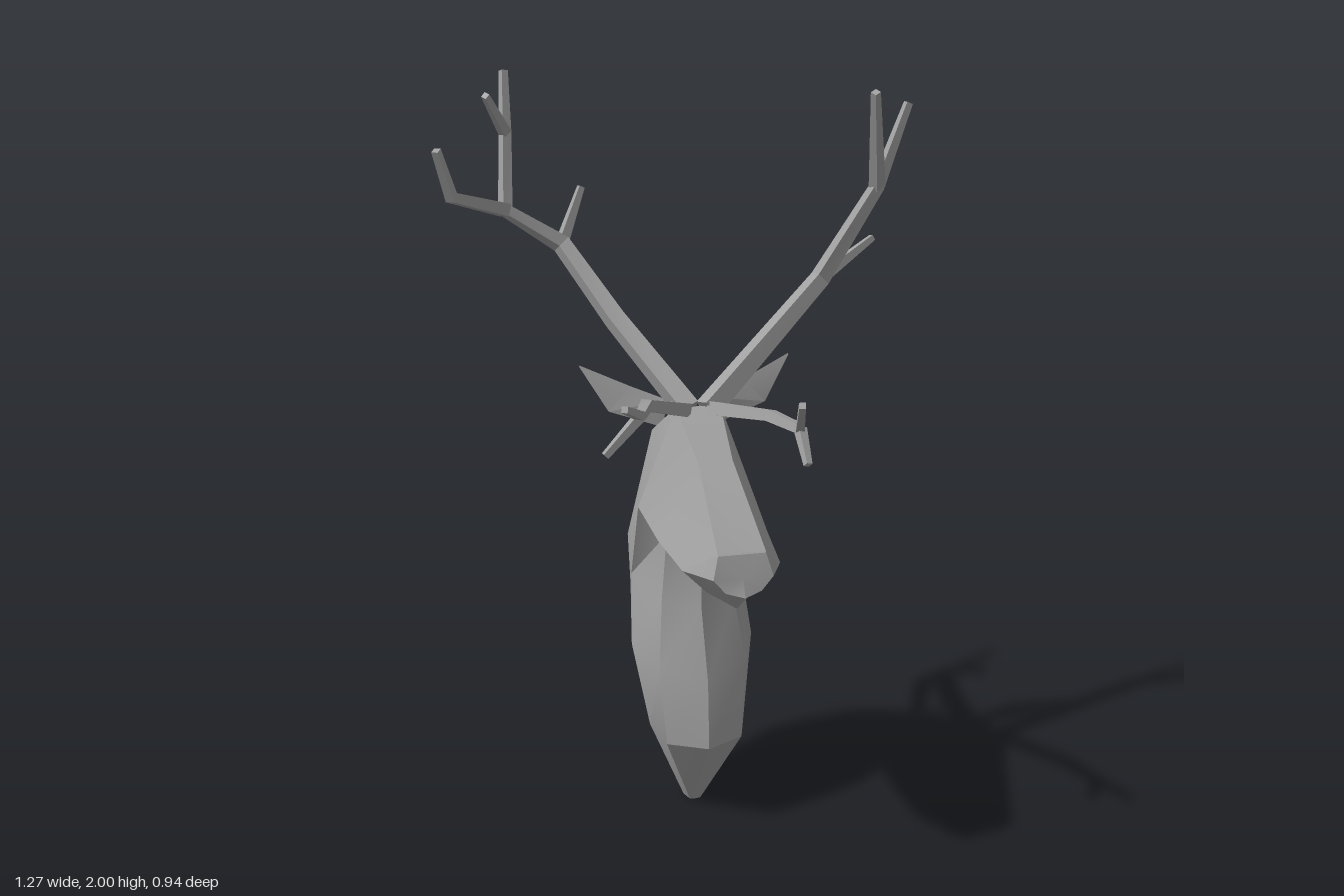
import * as THREE from 'three';
import { toCreasedNormals } from 'three/addons/utils/BufferGeometryUtils.js';

const stone = new THREE.MeshStandardMaterial({ color: 0xa0a0a0 });
stone.name = 'grey';

const V = (p) => new THREE.Vector3(...p);
const mirror = ([x, y, z]) => [-x, y, z];

// Skin between rings of equal size, capped at both ends and always facing outward.
function loft(name, rings, crease) {
  const n = rings[0].length;
  const tris = [];
  for (let i = 0; i < rings.length - 1; i++) {
    for (let j = 0; j < n; j++) {
      const k = (j + 1) % n;
      const [a, b, c, d] = [rings[i][j], rings[i][k], rings[i + 1][k], rings[i + 1][j]];
      tris.push([a, b, c], [a, c, d]);
    }
  }
  const cap = (ring, flip) => {
    const mid = ring.reduce((s, p) => s.add(p), new THREE.Vector3()).divideScalar(n);
    ring.forEach((p, j) => {
      const q = ring[(j + 1) % n];
      tris.push(flip ? [mid, q, p] : [mid, p, q]);
    });
  };
  cap(rings[0], true);
  cap(rings[rings.length - 1], false);

  const solid = tris.filter(([a, b, c]) =>
    b.clone().sub(a).cross(c.clone().sub(a)).length() > 1e-8);
  const volume = solid.reduce((s, [a, b, c]) => s + a.dot(b.clone().cross(c)), 0);
  if (volume < 0) solid.forEach((t) => t.reverse());

  const geometry = new THREE.BufferGeometry().setFromPoints(solid.flat());
  const mesh = new THREE.Mesh(toCreasedNormals(geometry, crease), stone);
  mesh.name = name;
  return mesh;
}

// Symmetric ring from half of its points; points on the middle plane are not doubled.
function symmetricRing(half) {
  const other = half.filter((p) => p[0] !== 0).reverse().map(mirror);
  return [...half, ...other].map(V);
}

// Square tapering limb along a bent path.
function limb(name, path, r0, r1) {
  const pts = path.map(V);
  const last = pts.length - 1;
  const u = new THREE.Vector3(0.3, 0.2, 1);
  const rings = pts.map((p, i) => {
    const dir = pts[Math.min(i + 1, last)].clone().sub(pts[Math.max(i - 1, 0)]).normalize();
    u.addScaledVector(dir, -u.dot(dir)).normalize();
    const v = dir.clone().cross(u);
    const r = THREE.MathUtils.lerp(r0, r1, i / last);
    return [[1, 1], [-1, 1], [-1, -1], [1, -1]].map(([s, t]) =>
      p.clone().addScaledVector(u, s * r).addScaledVector(v, t * r));
  });
  return loft(name, rings, 0.3);
}

function makeNeck() {
  // front middle, front corner, side, back corner (back middle is derived)
  const rows = [
    [[0, 0, -0.06], [0.015, 0, -0.062], [0.026, 0, -0.095], [0.018, 0, -0.125]],
    [[0, 0.24, 0.105], [0.105, 0.24, 0.05], [0.125, 0.24, -0.08], [0.09, 0.25, -0.245]],
    [[0, 0.43, 0.09], [0.12, 0.46, 0.03], [0.17, 0.48, -0.1], [0.125, 0.56, -0.338]],
    [[0, 0.62, 0.012], [0.1, 0.63, -0.03], [0.155, 0.66, -0.17], [0.13, 0.71, -0.345]],
    [[0, 0.81, 0.01], [0.085, 0.82, -0.03], [0.16, 0.9, -0.04], [0.1, 1.08, -0.14]],
    [[0, 1.16, -0.03], [0.03, 1.165, -0.03], [0.06, 1.17, -0.03], [0.05, 1.165, -0.05]],
  ];
  const bulge = [0.005, 0.015, 0.02, 0.02, 0.015, 0];
  return loft('neck', rows.map((row, i) => {
    const [, y, z] = row[3];
    return symmetricRing([...row, [0, y, z - bulge[i]]]);
  }), 0.5);
}

function makeHead() {
  // brow edge, cheek, jaw corner, chin keel, from poll to nose
  const rows = [
    [[0.06, 1.17, -0.03], [0.16, 0.9, -0.04], [0.09, 0.83, -0.03], [0, 0.81, 0.01]],
    [[0.045, 1.08, 0.16], [0.145, 0.87, 0.14], [0.08, 0.815, 0.15], [0, 0.79, 0.19]],
    [[0.06, 0.935, 0.425], [0.125, 0.86, 0.33], [0.065, 0.8, 0.335], [0, 0.77, 0.385]],
    [[0.06, 0.93, 0.43], [0.075, 0.875, 0.447], [0.045, 0.84, 0.45], [0, 0.83, 0.465]],
  ];
  return loft('head', rows.map(symmetricRing), 0.4);
}

function makeEar(name, side) {
  const rows = [
    [[0.06, 1.165, -0.12], [0.075, 1.09, -0.125], [0.07, 1.12, -0.17]],
    [[0.155, 1.2, -0.155], [0.215, 1.135, -0.15], [0.165, 1.16, -0.21]],
    [[0.285, 1.258, -0.178], [0.287, 1.255, -0.177], [0.285, 1.256, -0.182]],
  ];
  return loft(name, rows.map((r) => r.map(([x, y, z]) => V([x * side, y, z]))), 0.3);
}

function makeAntler(name, branches) {
  const antler = new THREE.Group();
  antler.name = name;
  branches.forEach(([part, r0, r1, path]) => antler.add(limb(part, path, r0, r1)));
  return antler;
}

export function createModel() {
  const model = new THREE.Group();
  model.name = 'stagBust';

  const bust = new THREE.Group();
  bust.name = 'bust';
  bust.position.x = 0.015;
  bust.add(makeNeck(), makeHead(), makeEar('leftEar', 1), makeEar('rightEar', -1));

  // The two antlers branch differently.
  const left = makeAntler('leftAntler', [
    ['beam', 0.026, 0.009,
      [[0.04, 1.16, -0.03], [0.4, 1.45, -0.22], [0.54, 1.7, -0.18], [0.625, 1.915, -0.197]]],
    ['upperTine', 0.016, 0.009, [[0.54, 1.7, -0.18], [0.472, 1.965, -0.02]]],
    ['middleTine', 0.015, 0.008, [[0.4, 1.45, -0.22], [0.57, 1.54, -0.293]]],
    ['browTine', 0.018, 0.008,
      [[0.05, 1.165, -0.02], [0.15, 1.2, 0.19], [0.19, 1.2, 0.315], [0.153, 1.3, 0.45]]],
    ['browFork', 0.012, 0.008, [[0.19, 1.2, 0.315], [0.19, 1.13, 0.385]]],
  ]);

  const right = makeAntler('rightAntler', [
    ['beam', 0.026, 0.009,
      [[-0.01, 1.16, -0.03], [-0.16, 1.36, -0.25], [-0.28, 1.545, -0.375],
        [-0.43, 1.645, -0.36], [-0.417, 1.84, -0.41], [-0.41, 1.996, -0.46]]],
    ['lowerTine', 0.014, 0.008, [[-0.28, 1.545, -0.375], [-0.217, 1.69, -0.415]]],
    ['middleTine', 0.017, 0.009,
      [[-0.43, 1.645, -0.36], [-0.59, 1.72, -0.145], [-0.627, 1.845, -0.095]]],
    ['upperTine', 0.013, 0.008, [[-0.417, 1.84, -0.41], [-0.478, 1.95, -0.303]]],
    ['browTine', 0.018, 0.008,
      [[-0.02, 1.165, -0.02], [-0.145, 1.215, 0.08], [-0.185, 1.225, 0.2], [-0.247, 1.28, 0.32]]],
    ['browFork', 0.012, 0.008, [[-0.185, 1.225, 0.2], [-0.278, 1.135, 0.22]]],
  ]);

  model.add(bust, left, right);
  return model;
}
